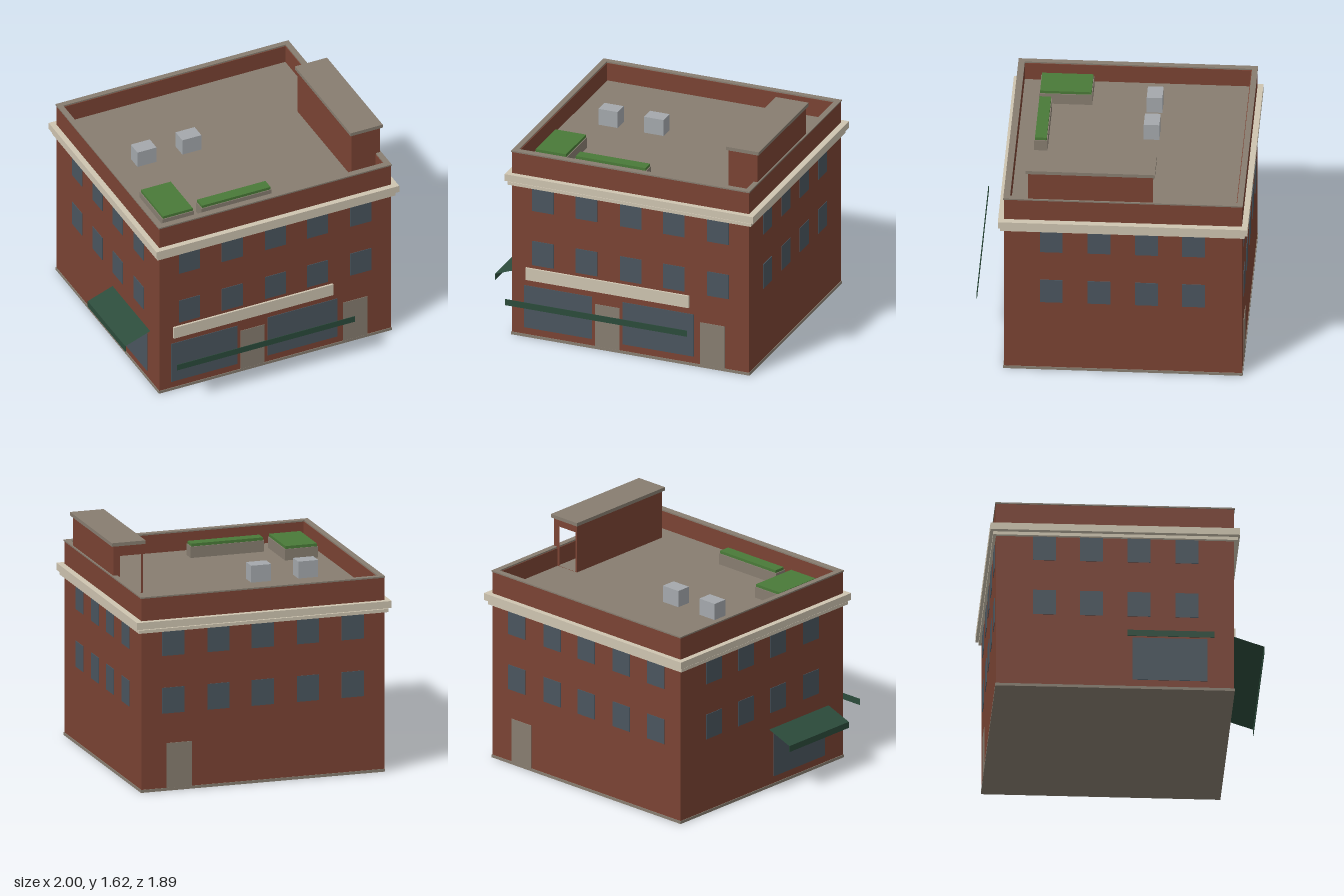
import * as THREE from 'three';

const mat = (name, color, side = THREE.FrontSide) => {
  const m = new THREE.MeshStandardMaterial({ color, side });
  m.name = name;
  return m;
};

export function createModel() {
  const root = new THREE.Group();
  root.name = 'building';

  const brick = mat('brick', 0x7a4333);
  const stone = mat('stone', 0x877d70);
  const cream = mat('cream', 0xcec4b0);
  const glass = mat('glass', 0x4a555e);
  const canvas = mat('awningGreen', 0x2b4b3b);
  const leaf = mat('leafGreen', 0x4a7a38);
  const metal = mat('metal', 0xa4a8ac);

  const add = (name, geo, material, parent = root) => {
    const m = new THREE.Mesh(geo, material);
    m.name = name;
    parent.add(m);
    return m;
  };
  // box given by its extents on each axis
  const box = (name, [x0, x1], [y0, y1], [z0, z1], material) => {
    const m = add(name, new THREE.BoxGeometry(x1 - x0, y1 - y0, z1 - z0), material);
    m.position.set((x0 + x1) / 2, (y0 + y1) / 2, (z0 + z1) / 2);
    return m;
  };
  // flat four-cornered face, corners counter-clockwise from its front
  const quad = (name, a, b, c, d, material) => {
    const g = new THREE.BufferGeometry();
    g.setAttribute('position', new THREE.Float32BufferAttribute([a, b, c, d].flat(), 3));
    g.setIndex([0, 1, 2, 0, 2, 3]);
    g.computeVertexNormals();
    return add(name, g, material);
  };
  const rect = (P, x0, x1, y0, y1) => {
    const p = new P();
    p.moveTo(x0, y0);
    p.lineTo(x1, y0);
    p.lineTo(x1, y1);
    p.lineTo(x0, y1);
    p.closePath();
    return p;
  };
  // rectangular ring lying flat between two heights
  const ring = (name, [x0, x1], [z0, z1], [ix0, ix1], [iz0, iz1], [y0, y1], material) => {
    const s = rect(THREE.Shape, x0, x1, -z1, -z0);
    s.holes.push(rect(THREE.Path, ix0, ix1, -iz1, -iz0));
    const g = new THREE.ExtrudeGeometry(s, { depth: y1 - y0, bevelEnabled: false });
    g.rotateX(-Math.PI / 2);
    add(name, g, material).position.y = y0;
  };

  // main walls, roof deck, plinth
  const X = [-0.81, 0.955], Z = [-0.91, 0.73];
  const roofY = 1.25;
  box('walls', X, [0.01, roofY], Z, [brick, brick, stone, brick, brick, brick]);
  box('plinth', [-0.815, 0.96], [0, 0.02], [-0.915, 0.735], stone);

  // parapet with coping
  ring('parapet', X, Z, [-0.77, 0.915], [-0.87, 0.69], [roofY, 1.38], brick);
  ring('coping', [-0.815, 0.96], [-0.915, 0.735], [-0.775, 0.92], [-0.875, 0.69], [1.38, 1.39], stone);

  // cornice bands
  box('upperCornice', [-0.85, 1.0], [1.17, 1.22], [-0.95, 0.77], cream);
  box('lowerCornice', [-0.835, 0.98], [1.137, 1.16], [-0.93, 0.755], cream);

  // thin plates on the walls
  const t = 0.004;
  const plate = {
    front: (n, u, y, m) => box(n, u, y, [Z[1], Z[1] + t], m),
    back: (n, u, y, m) => box(n, u, y, [Z[0] - t, Z[0]], m),
    right: (n, u, y, m) => box(n, [X[0] - t, X[0]], y, u, m),
    left: (n, u, y, m) => box(n, [X[1], X[1] + t], y, u, m),
  };
  for (const y of [[0.55, 0.733], [0.96, 1.14]]) {
    for (const x of [-0.66, -0.335, -0.005, 0.315, 0.645])
      for (const s of ['front', 'back']) plate[s]('window', [x, x + 0.16], y, glass);
    for (const z of [-0.655, -0.33, -0.005, 0.325])
      for (const s of ['left', 'right']) plate[s]('window', [z, z + 0.158], y, glass);
  }
  plate.front('shopWindow', [-0.72, -0.215], [0.07, 0.388], glass);
  plate.front('shopWindow', [0.015, 0.545], [0.07, 0.388], glass);
  plate.right('sideShopWindow', [0.03, 0.545], [0.07, 0.388], glass);
  plate.front('shopDoor', [-0.19, -0.01], [0.015, 0.338], stone);
  plate.front('entryDoor', [0.59, 0.775], [0.015, 0.338], stone);
  plate.back('backDoor', [0.59, 0.775], [0.015, 0.338], stone);
  box('signBoard', [-0.705, 0.51], [0.435, 0.525], [0.72, 0.745], cream);

  // awnings: valance strip plus sloped sheet
  box('frontValance', [-0.775, 0.58], [0.315, 0.36], [0.938, 0.942], canvas);
  quad('frontAwning', [-0.775, 0.43, 0.73], [0.58, 0.43, 0.73],
    [0.58, 0.36, 0.94], [-0.775, 0.36, 0.94], canvas);
  box('sideValance', [-1.0, -0.996], [0.315, 0.36], [-0.015, 0.585], canvas);
  quad('sideAwning', [-1.0, 0.36, -0.015], [-1.0, 0.36, 0.585],
    [-0.81, 0.43, 0.585], [-0.81, 0.43, -0.015], canvas);

  // stair hut: outer wall faces with an open doorway at the back
  const [hx0, hx1, hy, hz0, hz1] = [0.735, 0.95, 1.6, -0.295, 0.565];
  quad('hutFrontWall', [hx0, roofY, hz1], [hx1, roofY, hz1], [hx1, hy, hz1], [hx0, hy, hz1], brick);
  quad('hutOuterWall', [hx1, roofY, hz1], [hx1, roofY, hz0], [hx1, hy, hz0], [hx1, hy, hz1], brick);
  quad('hutInnerWall', [hx0, roofY, hz0], [hx0, roofY, hz1], [hx0, hy, hz1], [hx0, hy, hz0], brick);
  const end = rect(THREE.Shape, -hx1, -hx0, roofY, hy);
  end.holes.push(rect(THREE.Path, -0.9, -0.75, roofY + 0.002, 1.545));
  const endWall = add('hutDoorWall', new THREE.ShapeGeometry(end), brick);
  endWall.rotation.y = Math.PI;
  endWall.position.z = hz0;
  box('hutRoof', [0.72, 0.965], [hy, 1.625], [-0.31, 0.58], stone);

  // roof units
  for (const x of [-0.545, -0.203])
    box('roofUnit', [x, x + 0.145], [roofY, 1.37], [-0.28, -0.172], metal);

  // planters
  for (const [x, z] of [[[-0.71, -0.47], [0.207, 0.573]], [[-0.412, 0.122], [0.48, 0.573]]]) {
    box('planter', x, [roofY, 1.33], z, stone);
    box('planting', [x[0] + 0.006, x[1] - 0.006], [1.33, 1.35], [z[0] + 0.006, z[1] - 0.006], leaf);
  }

  return root;
}
